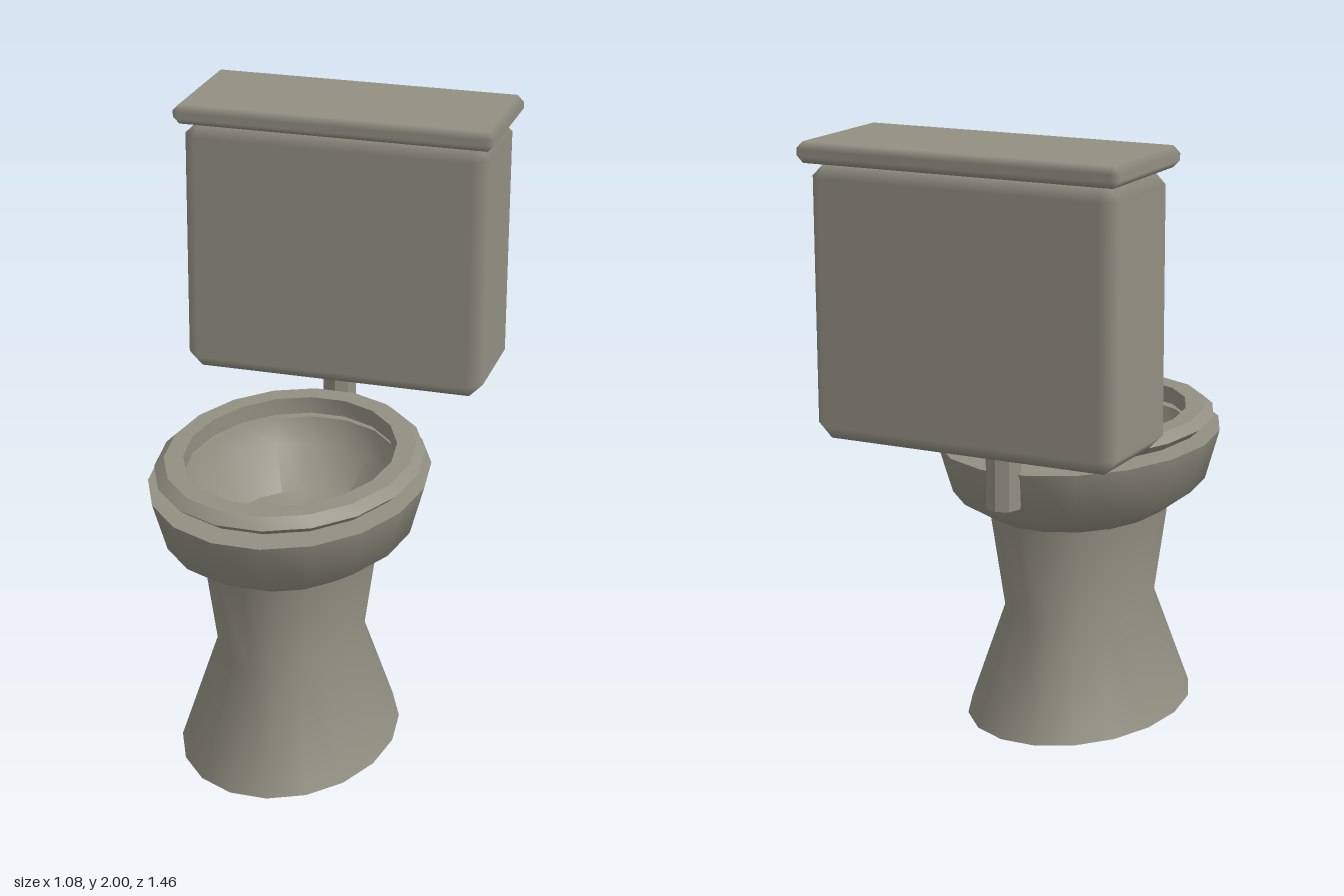
import * as THREE from 'three';
import { toCreasedNormals } from 'three/addons/utils/BufferGeometryUtils.js';
import { ConvexGeometry } from 'three/addons/geometries/ConvexGeometry.js';

const BOWL_Z = 0.16;

// Oval turned body: profile of [radius, y], stretched along z
function oval(profile, sides, stretch, crease) {
  const points = profile.map(([r, y]) => new THREE.Vector2(r, y));
  const geometry = new THREE.LatheGeometry(points, sides, Math.PI / 2);
  geometry.scale(1, 1, stretch);
  return toCreasedNormals(geometry, crease);
}

// Box with single chamfers, shaded smoothly from face to face
function chamferBox(w, h, d, c) {
  const half = [w / 2, h / 2, d / 2];
  const points = [];
  for (let axis = 0; axis < 3; axis++)
    for (const sx of [-1, 1]) for (const sy of [-1, 1]) for (const sz of [-1, 1]) {
      const p = [sx, sy, sz].map((s, i) => s * (half[i] - (i === axis ? 0 : c)));
      points.push(new THREE.Vector3(...p));
    }
  const geometry = new ConvexGeometry(points);
  const { position, normal } = geometry.attributes;
  for (let i = 0; i < position.count; i++) {
    const p = [position.getX(i), position.getY(i), position.getZ(i)];
    normal.setXYZ(i, ...p.map((v, k) => (Math.abs(v) > half[k] - c / 2 ? Math.sign(v) : 0)));
  }
  return geometry;
}

export function createModel() {
  const group = new THREE.Group();
  const ceramic = new THREE.MeshStandardMaterial({ color: 0x929082 });
  ceramic.name = 'ceramic';

  const add = (name, geometry, x, y, z) => {
    const mesh = new THREE.Mesh(geometry, ceramic);
    mesh.name = name;
    mesh.position.set(x, y, z);
    group.add(mesh);
  };

  // Waisted foot
  add('pedestal', oval([[0, 0], [0.353, 0], [0.235, 0.36], [0.282, 0.71], [0, 0.71]], 18, 1.355, 0.8),
    0, 0, BOWL_Z - 0.002);

  // Hollow bowl: outside, rim, inside, floor
  add('bowl', oval([
    [0, 0.695], [0.285, 0.695], [0.4, 0.78], [0.445, 0.945],
    [0.345, 0.945], [0.32, 0.86], [0.22, 0.74], [0, 0.74],
  ], 18, 1.297, 0.8), 0, 0, BOWL_Z);

  // Bevelled seat ring
  add('seat', oval([
    [0.335, 0.965], [0.395, 0.965], [0.425, 0.993], [0.395, 1.022], [0.335, 1.022], [0.335, 0.965],
  ], 18, 1.29, 0.6), 0, 0, BOWL_Z);

  // Flush pipe below the tank
  add('pipe', toCreasedNormals(new THREE.CylinderGeometry(0.058, 0.058, 0.3, 8), 0.6), 0, 0.98, -0.402);

  // Tank and its lid
  add('tank', chamferBox(1.03, 0.87, 0.42, 0.046), 0, 1.5, -0.495);
  add('tankLid', chamferBox(1.08, 0.066, 0.47, 0.022), 0, 1.967, -0.495);

  return group;
}
